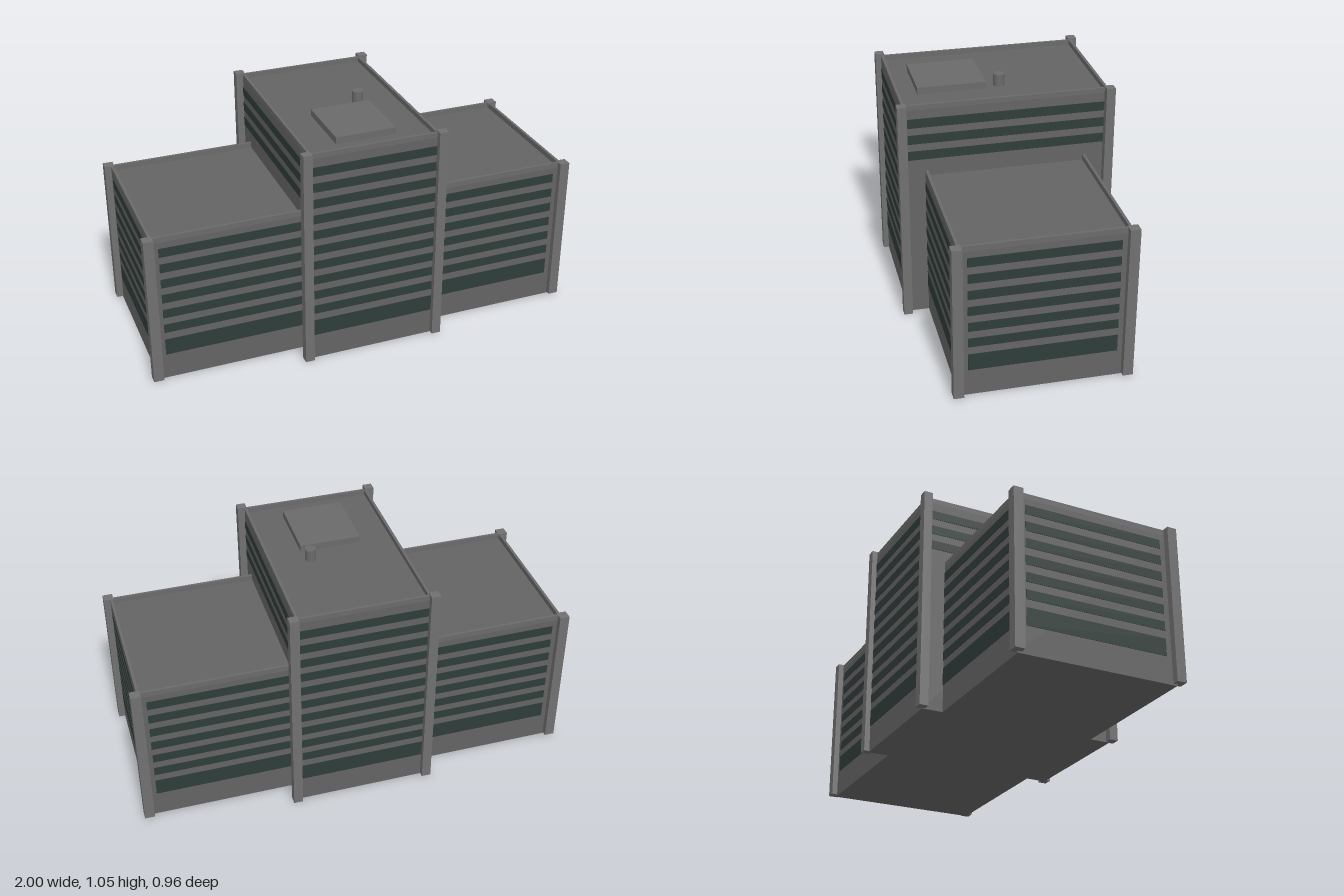
import * as THREE from 'three';

const mat = (color) => new THREE.MeshStandardMaterial({ color });

export function createModel() {
  const building = new THREE.Group();
  building.name = 'building';
  const wallMat = mat(0x646464), pillarMat = mat(0x707070), roofMat = mat(0x6a6a6a), glassMat = mat(0x2f3d39);

  const add = (parent, name, geometry, material, x, y, z) => {
    const mesh = new THREE.Mesh(geometry, material);
    mesh.name = name;
    mesh.position.set(x, y, z);
    parent.add(mesh);
    return mesh;
  };

  // box given by its min and max on each axis
  const block = (parent, name, material, [x0, x1], [y0, y1], [z0, z1]) =>
    add(parent, name, new THREE.BoxGeometry(x1 - x0, y1 - y0, z1 - z0), material,
      (x0 + x1) / 2, (y0 + y1) / 2, (z0 + z1) / 2);

  // solid volume with a sunken roof inside a thin parapet, and four corner pillars
  const volume = (name, hx, hz, roofY, topY, rim, pillar) => {
    const g = new THREE.Group();
    g.name = name;
    block(g, 'walls', wallMat, [-hx, hx], [0, roofY], [-hz, hz]);

    const rect = (Type, a, b) => new Type([[-a, -b], [a, -b], [a, b], [-a, b]].map((p) => new THREE.Vector2(...p)));
    const ring = rect(THREE.Shape, hx, hz);
    ring.holes.push(rect(THREE.Path, hx - rim, hz - rim));
    const geo = new THREE.ExtrudeGeometry(ring, { depth: topY - roofY, bevelEnabled: false });
    geo.rotateX(-Math.PI / 2);
    add(g, 'parapet', geo, roofMat, 0, roofY, 0);

    const { x, z, y } = pillar;
    for (const sx of [-1, 1]) for (const sz of [-1, 1]) {
      add(g, 'cornerPillar', new THREE.BoxGeometry(x[1] - x[0], y[1] - y[0], z[1] - z[0]), pillarMat,
        sx * (x[0] + x[1]) / 2, (y[0] + y[1]) / 2, sz * (z[0] + z[1]) / 2);
    }
    building.add(g);
    return g;
  };

  const wings = volume('wings', 0.97, 0.36, 0.685, 0.71, 0.012,
    { x: [0.955, 1], z: [0.342, 0.386], y: [0.008, 0.712] });
  const tower = volume('tower', 0.297, 0.455, 1.0, 1.023, 0.012,
    { x: [0.288, 0.33], z: [0.44, 0.48], y: [0.003, 1.03] });

  // window bands: a tall ground floor strip and evenly spaced upper floors
  const bands = [[0.122, 0.2]];
  for (let i = 0; i < 10; i++) bands.push([0.235 + i * 0.0758, 0.277 + i * 0.0758]);
  const proud = 0.002;
  bands.forEach((band, i) => {
    for (const s of [-1, 1]) {
      const span = (a, b) => (s > 0 ? [a, b] : [-b, -a]);
      block(tower, 'towerWindow', glassMat, [-0.289, 0.289], band, span(0.445, 0.455 + proud));
      if (i < 7) {
        for (const f of [-1, 1]) {
          block(wings, 'wingWindow', glassMat, span(0.295, 0.933), band,
            f > 0 ? [0.35, 0.36 + proud] : [-0.36 - proud, -0.35]);
        }
        block(wings, 'endWindow', glassMat, span(0.96, 0.97 + proud), band, [-0.32, 0.318]);
      } else if (i > 7) {
        block(tower, 'towerSideWindow', glassMat, span(0.287, 0.297 + proud), band, [-0.442, 0.442]);
      }
    }
  });

  // rooftop fittings
  block(tower, 'roofPad', roofMat, [-0.14, 0.135], [0.995, 1.031], [0.055, 0.36]);
  add(tower, 'chimney', new THREE.CylinderGeometry(0.025, 0.025, 0.06, 24), roofMat, 0.108, 1.025, -0.01);

  return building;
}
